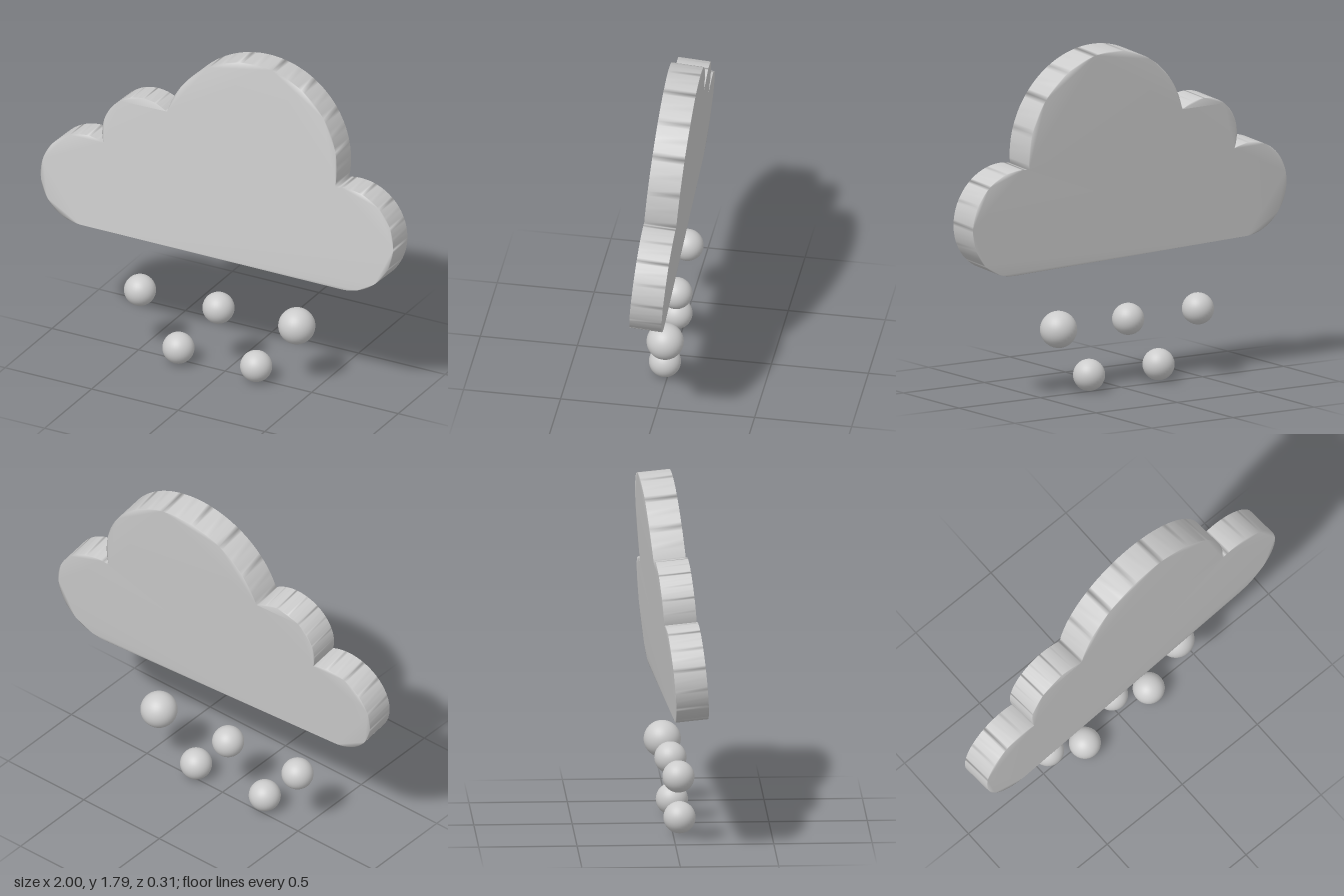
import * as THREE from 'three';
import { mergeVertices } from 'three/addons/utils/BufferGeometryUtils.js';

const material = new THREE.MeshStandardMaterial({ color: 0xcccccc });
const PIVOT_Y = 1.23;
const DEPTH = 0.165;

// Lobes counter-clockwise from the right end: centre x, y, radius
const LOBES = [
  [0.718, 0.951, 0.278],
  [0.17, 1.298, 0.491],
  [-0.44, 1.248, 0.222],
  [-0.748, 0.953, 0.248],
];
// Notches where neighbouring lobes meet
const NOTCHES = [[0.66, 1.225], [-0.309, 1.428], [-0.645, 1.18]];

// Flat puffy slab with softly blended normals
function makeCloud() {
  const shape = new THREE.Shape();
  const bottom = -Math.PI / 2 - 0.02;
  LOBES.forEach(([x, y, r], i) => {
    const angleTo = ([px, py]) => Math.atan2(py - y, px - x);
    const start = i === 0 ? bottom : angleTo(NOTCHES[i - 1]);
    const end = i === LOBES.length - 1 ? bottom : angleTo(NOTCHES[i]);
    shape.absarc(x, y - PIVOT_Y, r, start, end, false);
  });
  let geometry = new THREE.ExtrudeGeometry(shape, {
    depth: DEPTH, bevelEnabled: false, curveSegments: 32,
  });
  geometry.translate(0, 0, -DEPTH / 2);
  geometry.deleteAttribute('normal');
  geometry.deleteAttribute('uv');
  geometry = mergeVertices(geometry, 1e-4);
  geometry.computeVertexNormals();

  const cloud = new THREE.Mesh(geometry, material);
  cloud.name = 'cloud';
  cloud.position.set(0, PIVOT_Y, -0.013);
  cloud.rotation.set(-0.09, 0.043, 0);
  return cloud;
}

// Snowballs in two staggered rows: x, y, z, radius
const BALLS = [
  [-0.483, 0.354, 0.016, 0.082],
  [-0.04, 0.351, -0.003, 0.082],
  [0.402, 0.347, -0.022, 0.095],
  [-0.252, 0.088, 0.033, 0.082],
  [0.188, 0.083, 0.016, 0.082],
];

export function createModel() {
  const model = new THREE.Group();
  model.name = 'snowCloud';
  model.add(makeCloud());

  const snow = new THREE.Group();
  snow.name = 'snowballs';
  BALLS.forEach(([x, y, z, r], i) => {
    const ball = new THREE.Mesh(new THREE.SphereGeometry(r, 32, 20), material);
    ball.name = `snowball${i + 1}`;
    ball.position.set(x, y, z);
    snow.add(ball);
  });
  model.add(snow);
  return model;
}
